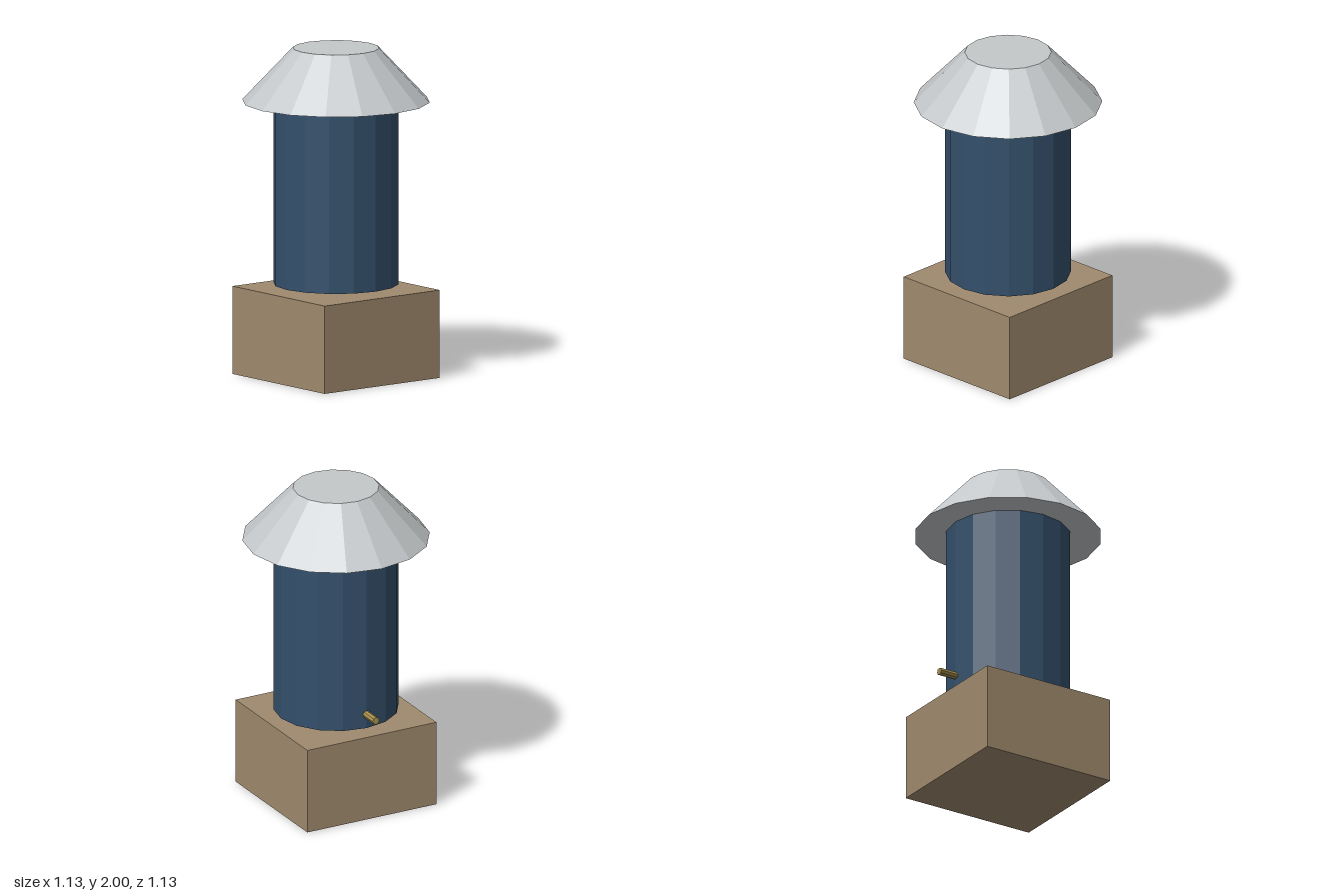
import * as THREE from 'three';

const SIDES = 16;

function part(name, geometry, color, y, z = 0) {
  const material = new THREE.MeshStandardMaterial({ color, flatShading: true });
  const mesh = new THREE.Mesh(geometry, material);
  mesh.name = name;
  mesh.position.set(0, y, z);
  return mesh;
}

export function createModel() {
  const model = new THREE.Group();
  model.name = 'barrelOnStand';

  // Square stand, with a narrow gap below the barrel
  const standHeight = 0.535;
  model.add(part('stand', new THREE.BoxGeometry(0.885, standHeight, 0.885), 0xa08a6e, standHeight / 2));

  // Faceted barrel
  const bottom = 0.565, eaves = 1.675, top = 2;
  model.add(part('barrel', new THREE.CylinderGeometry(0.378, 0.378, eaves - bottom, SIDES), 0x34506b, (bottom + eaves) / 2));

  // Truncated cone roof with a closed underside
  model.add(part('roof', new THREE.CylinderGeometry(0.26, 0.566, top - eaves, SIDES), 0xc4c8ca, (eaves + top) / 2));

  // Small spigot low on the back
  const spigotGeometry = new THREE.CylinderGeometry(0.023, 0.023, 0.135, 8);
  spigotGeometry.rotateX(Math.PI / 2);
  model.add(part('spigot', spigotGeometry, 0xa8904e, 0.655, -0.4275));

  return model;
}
